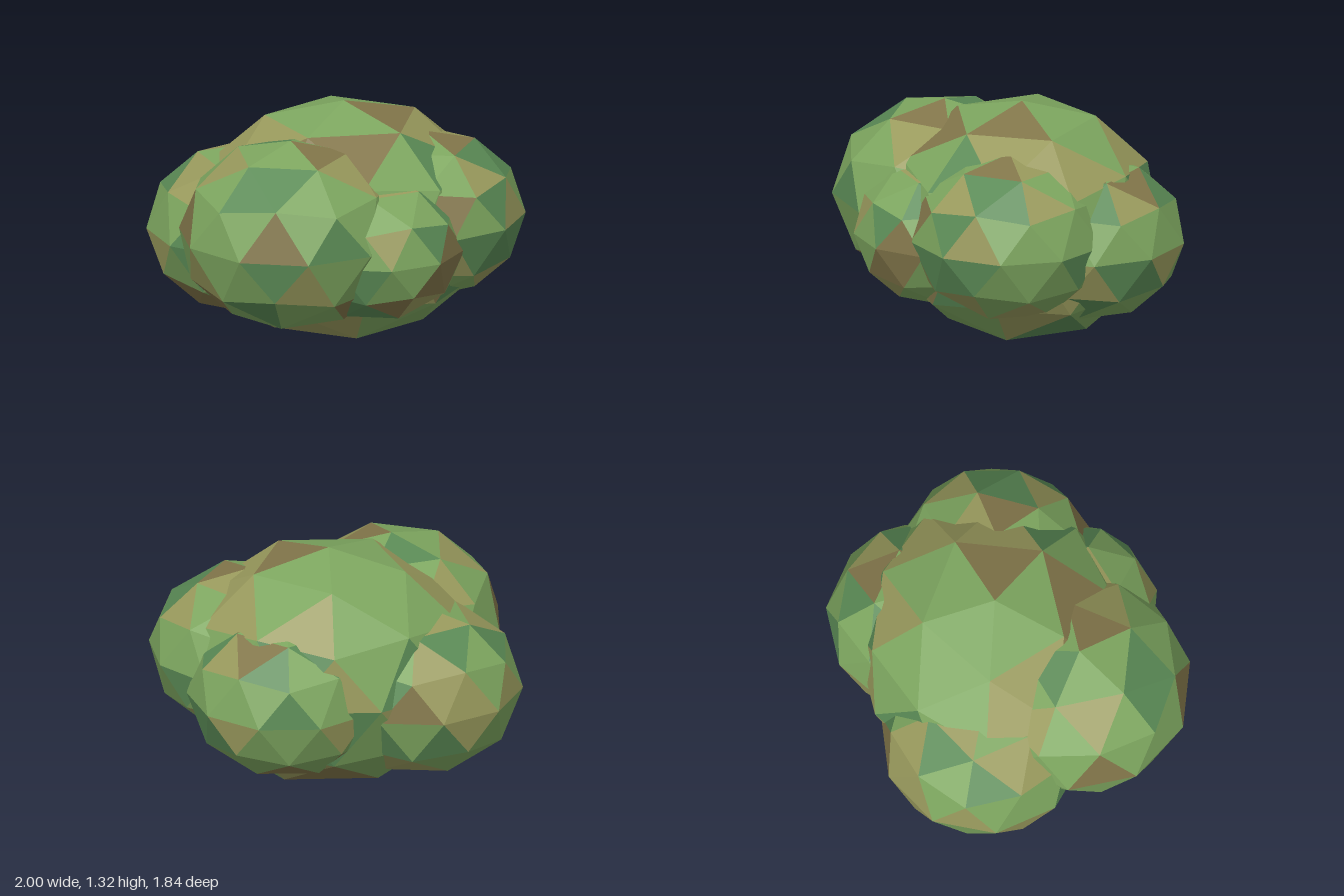
import * as THREE from 'three';

const SHADES = [0x7da65f, 0x5a8a55, 0x98995c, 0x82764a].map(
  (color) => new THREE.MeshStandardMaterial({ color, flatShading: true, roughness: 0.9 }));

// Small seeded generator for the patchwork of leaf shades
function seeded(seed) {
  let s = seed;
  return () => (s = (s * 16807) % 2147483647) / 2147483647;
}

// Faceted ellipsoid standing on a vertex; turn = heading of its upper ring, from +x towards +z
function clumpGeometry([x, y, z], [rx, ry, rz], turn) {
  const geo = new THREE.IcosahedronGeometry(1, 1);
  geo.rotateZ(-Math.atan(2 / (1 + Math.sqrt(5))));
  geo.rotateY(-THREE.MathUtils.degToRad(turn));
  geo.scale(rx, ry, rz);
  geo.translate(x, y, z);
  return geo;
}

// Leaf clump with its faces shared out over the shades
function makeClump({ name, at, radii, turn }, seed) {
  const group = new THREE.Group();
  group.name = name;
  const pos = clumpGeometry(at, radii, turn).getAttribute('position').array;
  const patches = SHADES.map(() => []);
  const random = seeded(seed);
  for (let i = 0; i < pos.length; i += 9) {
    const r = random();
    const shade = r < 0.52 ? 0 : r < 0.7 ? 1 : r < 0.9 ? 2 : 3;
    patches[shade].push(...pos.slice(i, i + 9));
  }
  patches.forEach((points, i) => {
    if (!points.length) return;
    const geo = new THREE.BufferGeometry();
    geo.setAttribute('position', new THREE.Float32BufferAttribute(points, 3));
    geo.computeVertexNormals();
    const mesh = new THREE.Mesh(geo, SHADES[i]);
    mesh.name = `${name}Leaves${i + 1}`;
    group.add(mesh);
  });
  return group;
}

const CLUMPS = [
  { name: 'centreClump', at: [0.04, 0.66, -0.08], radii: [0.82, 0.66, 0.76], turn: -18.9 },
  { name: 'frontRightClump', at: [-0.31, 0.71, 0.31], radii: [0.61, 0.52, 0.61], turn: 0 },
  { name: 'leftClump', at: [0.46, 0.7, 0.02], radii: [0.55, 0.46, 0.55], turn: -8.4 },
  { name: 'backLeftClump', at: [0.275, 0.62, -0.41], radii: [0.54, 0.45, 0.54], turn: -18 },
  { name: 'backRightClump', at: [-0.44, 0.58, -0.245], radii: [0.565, 0.47, 0.565], turn: 203.6 },
  { name: 'frontLeftClump', at: [0.15, 0.63, 0.36], radii: [0.48, 0.4, 0.48], turn: 35 },
];

export function createModel() {
  const bush = new THREE.Group();
  bush.name = 'bush';
  CLUMPS.forEach((clump, i) => bush.add(makeClump(clump, 7919 * (i + 3))));

  // Trunk inside the leaves, its corners just showing underneath
  const trunk = new THREE.Mesh(
    new THREE.CylinderGeometry(0.06, 0.1, 0.5, 3),
    new THREE.MeshStandardMaterial({ color: 0x7d5040, flatShading: true }));
  trunk.name = 'trunk';
  trunk.position.set(0.05, 0.263, -0.08);
  trunk.rotation.y = 0.8;
  bush.add(trunk);
  return bush;
}
